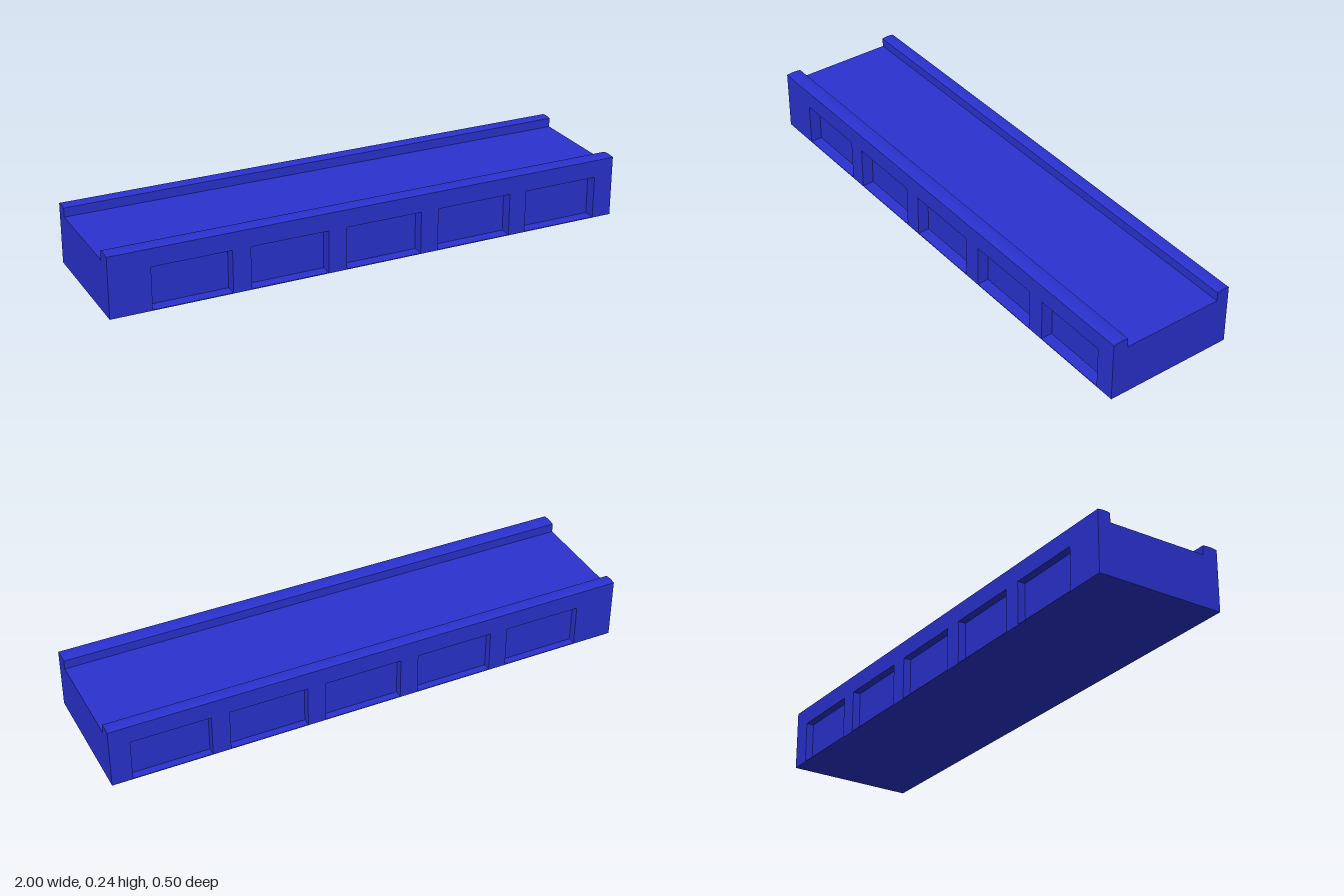
import * as THREE from 'three';

const FRONT = 0.25, BACK = -0.25;
const FRONT_RECESS = 0.205, BACK_RECESS = -0.22;
const DECK = 0.198, RAIL = 0.233, CROWN = 0.236;
const RECESS_TOP = 0.165, LIP = 0.003;
const RECESSES = [-0.845, -0.478, -0.11, 0.258, 0.625].map((x) => [x, x + 0.298]);

// Slightly crowned top of a parapet, from z0 to z1
function crown(shape, z0, z1) {
  shape.lineTo(z0, RAIL);
  shape.quadraticCurveTo((z0 + z1) / 2, 2 * CROWN - RAIL, z1, RAIL);
}

// Cross-section of the span: recessed sides, thin bottom lip, deck and two parapets
function spanProfile() {
  const s = new THREE.Shape();
  s.moveTo(BACK, 0);
  s.lineTo(FRONT, 0);
  s.lineTo(FRONT, LIP);
  s.lineTo(FRONT_RECESS, LIP);
  s.lineTo(FRONT_RECESS, RECESS_TOP);
  s.lineTo(FRONT, RECESS_TOP);
  crown(s, FRONT, 0.19);
  s.lineTo(0.19, DECK);
  s.lineTo(-0.2, DECK);
  crown(s, -0.2, BACK);
  s.lineTo(BACK, RECESS_TOP);
  s.lineTo(BACK_RECESS, RECESS_TOP);
  s.lineTo(BACK_RECESS, LIP);
  s.lineTo(BACK, LIP);
  s.closePath();
  return s;
}

export function createModel() {
  const group = new THREE.Group();
  group.name = 'bridgeSpan';
  const material = new THREE.MeshStandardMaterial({ color: 0x2a32d0 });

  // Main span, extruded along x
  const geometry = new THREE.ExtrudeGeometry(spanProfile(), { depth: 2, bevelEnabled: false, curveSegments: 6 });
  geometry.rotateY(-Math.PI / 2).translate(1, 0, 0);
  const span = new THREE.Mesh(geometry, material);
  span.name = 'span';
  group.add(span);

  // Piers filling the sides between the recessed panels
  const edges = [-1, ...RECESSES.flat(), 1];
  const sides = [['frontPier', FRONT_RECESS, FRONT], ['backPier', BACK, BACK_RECESS]];
  for (const [name, z0, z1] of sides) {
    for (let i = 0; i < edges.length; i += 2) {
      const [x0, x1] = [edges[i], edges[i + 1]];
      const pier = new THREE.Mesh(new THREE.BoxGeometry(x1 - x0, RECESS_TOP - LIP, z1 - z0), material);
      pier.position.set((x0 + x1) / 2, (RECESS_TOP + LIP) / 2, (z0 + z1) / 2);
      pier.name = name + (i / 2 + 1);
      group.add(pier);
    }
  }
  return group;
}
